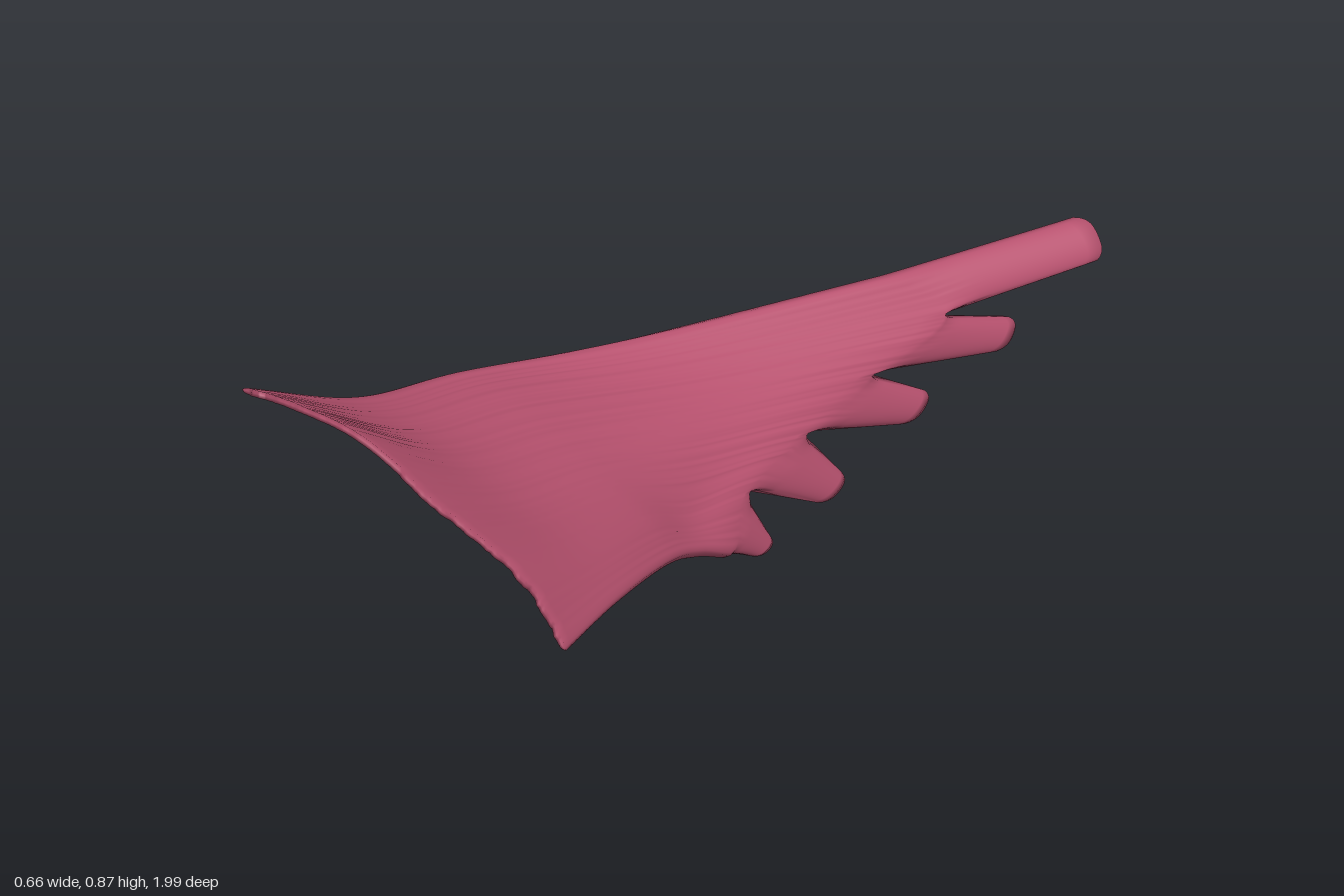
import * as THREE from 'three';
import { mergeVertices } from 'three/addons/utils/BufferGeometryUtils.js';

const V = (p) => new THREE.Vector3(...p);
const curve = (pts) => new THREE.CatmullRomCurve3(pts, false, 'catmullrom', 0.5);

// Cross lines of the fan, from the broad front edge to the roots of the slips
const crossLines = [
  [[-.328, .84, .945], [-.2, .868, .97], [-.05, .866, .985], [.105, .77, .965], [.235, .655, .915], [.325, .53, .905]],
  [[-.325, .63, .62], [-.22, .618, .63], [-.1, .592, .63], [.02, .54, .62], [.13, .475, .6], [.208, .395, .59]],
  [[-.318, .507, .32], [-.225, .478, .3], [-.12, .44, .3], [-.03, .39, .3], [.04, .32, .28], [.088, .235, .26]],
  [[-.232, .402, -.04], [-.145, .335, -.1], [-.08, .29, -.08], [-.04, .25, 0], [0, .2, .08], [.048, .15, .11]],
  [[-.04, .307, -.58], [.04, .218, -.645], [.015, .193, -.46], [0, .168, -.28], [0, .15, -.1], [.03, .077, 0]],
].map((row) => curve(row.map(V)));

// Five slips at the rear: tip centre and half width
const slips = [
  { tip: [.122, .213, -.99], half: [.027, -.034, .008] },
  { tip: [.073, .106, -.795], half: [.004, -.022, .028] },
  { tip: [.037, .065, -.575], half: [0, -.018, .036] },
  { tip: [.02, .022, -.34], half: [0, -.012, .04] },
  { tip: [.012, .014, -.135], half: [.004, -.002, .036] },
].map((s) => ({ tip: V(s.tip), half: V(s.half) }));

const PER = 24, COLS = PER * slips.length, BODY = 44, SLIP = 12;

function seeded(seed) {
  return () => (seed = (seed * 16807) % 2147483647) / 2147483647;
}

function sheetGeometry() {
  const rand = seeded(71);
  const fibres = [], ripple = [], fray = [];
  let tuft = 0;
  for (let j = 0; j <= COLS; j++) {
    const v = j / COLS;
    fibres.push(curve(crossLines.map((c) => c.getPoint(v))));
    ripple.push((rand() - 0.5) * 0.1);
    // ragged front edge, in tufts a few fibres wide
    if (j % 5 === 0) tuft = rand();
    fray.push((tuft * 0.75 + rand() * 0.25) * (v > 0.5 ? 0.055 : 0.015));
  }

  // Centre surface
  const grid = [], thick = [];
  const edge = (d) => Math.sqrt(1 - Math.pow(1 - Math.min(1, d / 0.04), 2));
  for (let i = 0; i <= BODY; i++) {
    const u = i / BODY;
    grid.push(fibres.map((f, j) => {
      const p = f.getPoint(u);
      const pull = fray[j] * Math.max(0, 1 - u * 8);
      return p.addScaledVector(f.getTangent(u), -pull * 0.6);
    }));
    const body = 0.012 + 0.024 * Math.min(1, u * 2);
    thick.push(fibres.map((f, j) =>
      body * edge(Math.min(j, COLS - j) / COLS) * (1 + ripple[j])));
  }

  // Surface directions, one per grid point
  const normals = grid.map((row, i) => row.map((p, j) => {
    const du = grid[Math.min(i + 1, BODY)][j].clone().sub(grid[Math.max(i - 1, 0)][j]);
    const dv = row[Math.min(j + 2, COLS)].clone().sub(row[Math.max(j - 2, 0)]);
    return dv.cross(du).normalize();
  }));

  // Slips: each narrows from its root towards a rounded tip
  const root = grid[BODY], rootThick = thick[BODY], rootNormal = normals[BODY];
  for (let i = 1; i <= SLIP; i++) {
    const s = i / SLIP, row = [], t = [], n = [];
    for (let j = 0; j <= COLS; j++) {
      const k = Math.min(slips.length - 1, Math.floor(j / PER));
      const w = (j - k * PER) / PER * 2 - 1;
      const { tip, half } = slips[k];
      const centre = root[k * PER].clone().add(root[(k + 1) * PER]).multiplyScalar(0.5);
      const along = tip.clone().sub(centre).normalize();
      const notch = j % PER === 0 && j > 0 && j < COLS;
      if (notch) row.push(root[j].clone());
      else {
        const offset = root[j].clone().sub(centre).lerp(half.clone().multiplyScalar(w), Math.pow(s, 0.7));
        row.push(centre.clone().lerp(tip, s).add(offset).addScaledVector(along, -0.02 * s * w ** 4));
      }
      const blend = Math.min(1, s * 4);
      t.push(THREE.MathUtils.lerp(rootThick[j], 0.04 * Math.sqrt(Math.max(0, 1 - w * w)), blend));
      n.push(rootNormal[j].clone().lerp(half.clone().cross(along).normalize(), s).normalize());
    }
    grid.push(row); thick.push(t); normals.push(n);
  }

  // Closed ends: repeat the end rows with no thickness
  const none = new Array(COLS + 1).fill(0);
  grid.unshift(grid[0]); normals.unshift(normals[0]); thick.unshift(none);
  grid.push(grid[grid.length - 1]); normals.push(normals[normals.length - 1]); thick.push(none);

  // Loop around every row: upper side out, lower side back
  const pos = [], index = [], LOOP = 2 * (COLS + 1);
  grid.forEach((row, i) => {
    for (let k = 0; k < LOOP; k++) {
      const upper = k <= COLS, j = upper ? k : LOOP - 1 - k;
      const p = row[j].clone().addScaledVector(normals[i][j], (upper ? 0.5 : -0.5) * thick[i][j]);
      pos.push(p.x, p.y, p.z);
    }
  });
  for (let i = 0; i < grid.length - 1; i++) {
    for (let k = 0; k < LOOP; k++) {
      const a = i * LOOP + k, d = i * LOOP + (k + 1) % LOOP;
      index.push(a, d, a + LOOP, d, d + LOOP, a + LOOP);
    }
  }
  let geo = new THREE.BufferGeometry();
  geo.setAttribute('position', new THREE.Float32BufferAttribute(pos, 3));
  geo.setIndex(index);
  geo = mergeVertices(geo, 1e-5);
  geo.computeVertexNormals();
  return geo;
}

export function createModel() {
  const group = new THREE.Group();
  group.name = 'fanMuscle';
  const muscleRed = new THREE.MeshStandardMaterial({ color: 0xb8526f });
  muscleRed.name = 'muscleRed';
  const sheet = new THREE.Mesh(sheetGeometry(), muscleRed);
  sheet.name = 'twistedSheetWithSlips';
  group.add(sheet);
  return group;
}
